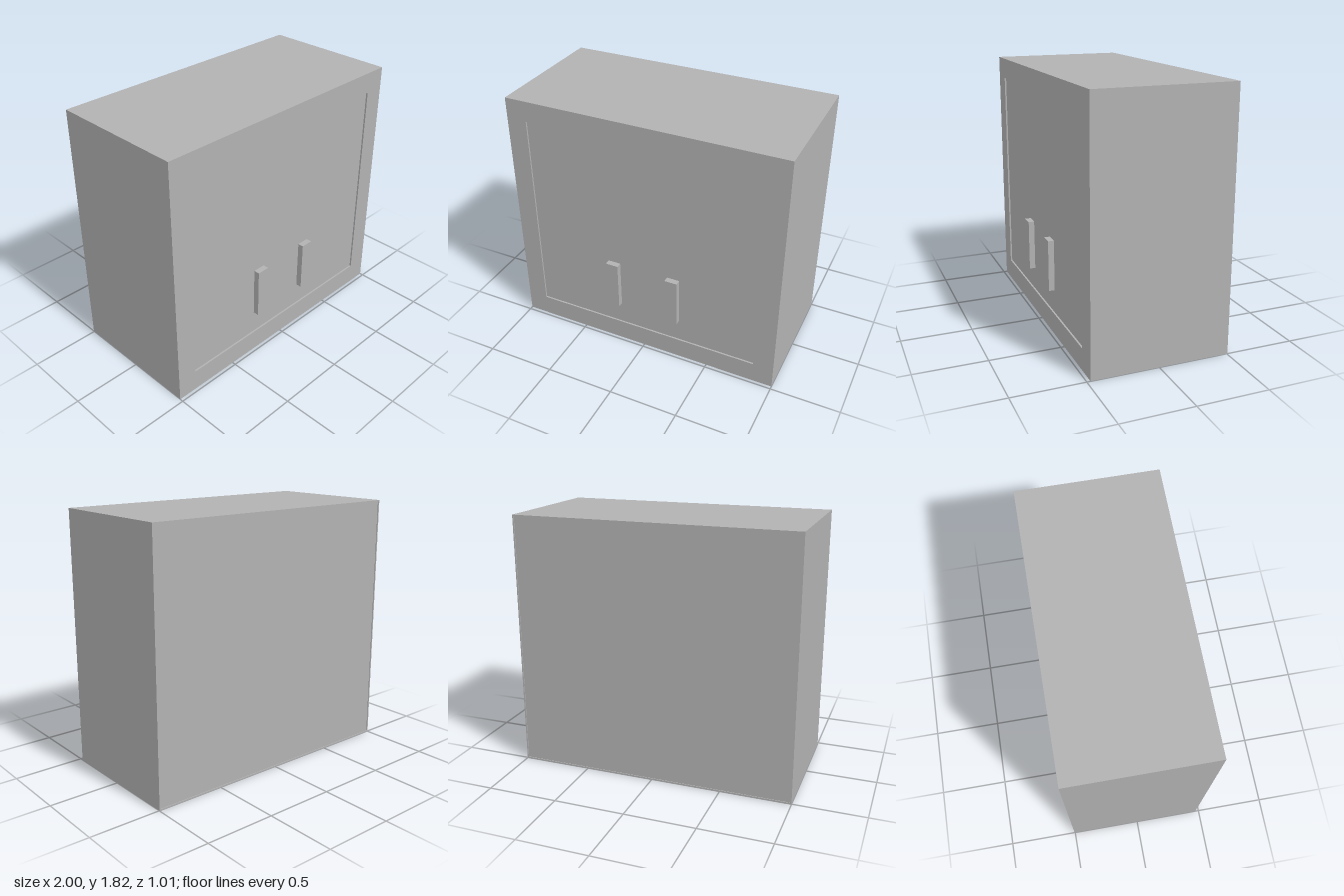
import * as THREE from 'three';

export function createModel() {
  const group = new THREE.Group();
  const grey = new THREE.MeshStandardMaterial({ color: 0xb2b2b2 });
  grey.name = 'light grey';

  // Box given by its minimum and maximum corners
  function box(name, x0, x1, y0, y1, z0, z1) {
    const mesh = new THREE.Mesh(new THREE.BoxGeometry(x1 - x0, y1 - y0, z1 - z0), grey);
    mesh.position.set((x0 + x1) / 2, (y0 + y1) / 2, (z0 + z1) / 2);
    mesh.name = name;
    group.add(mesh);
  }

  // Rectangular ring extruded forward from z0 to z1
  function frame(name, hole, z0, z1) {
    const rect = (path, [x0, x1, y0, y1]) =>
      path.moveTo(x0, y0).lineTo(x1, y0).lineTo(x1, y1).lineTo(x0, y1).closePath();
    const shape = rect(new THREE.Shape(), [-1, 1, 0, 1.82]);
    shape.holes.push(rect(new THREE.Path(), hole));
    const geo = new THREE.ExtrudeGeometry(shape, { depth: z1 - z0, bevelEnabled: false });
    geo.translate(0, 0, z0);
    const mesh = new THREE.Mesh(geo, grey);
    mesh.name = name;
    group.add(mesh);
  }

  const front = 0.475, back = -0.505, recess = 0.012, rim = 0.005;

  // Cabinet body, with a shallow door recess in front and a thin rim behind
  box('cabinetBody', -1, 1, 0, 1.82, back + rim, front - recess);
  frame('doorFrame', [-0.853, 0.853, 0.155, 1.67], front - recess, front);
  frame('backRim', [-0.99, 0.99, 0.01, 1.81], back, back + rim);

  // Pair of upright handles
  for (const [name, x] of [['leftHandle', 0.23], ['rightHandle', -0.23]]) {
    box(name, x - 0.046, x + 0.046, 0.325, 0.69, front - recess, 0.505);
  }
  return group;
}
